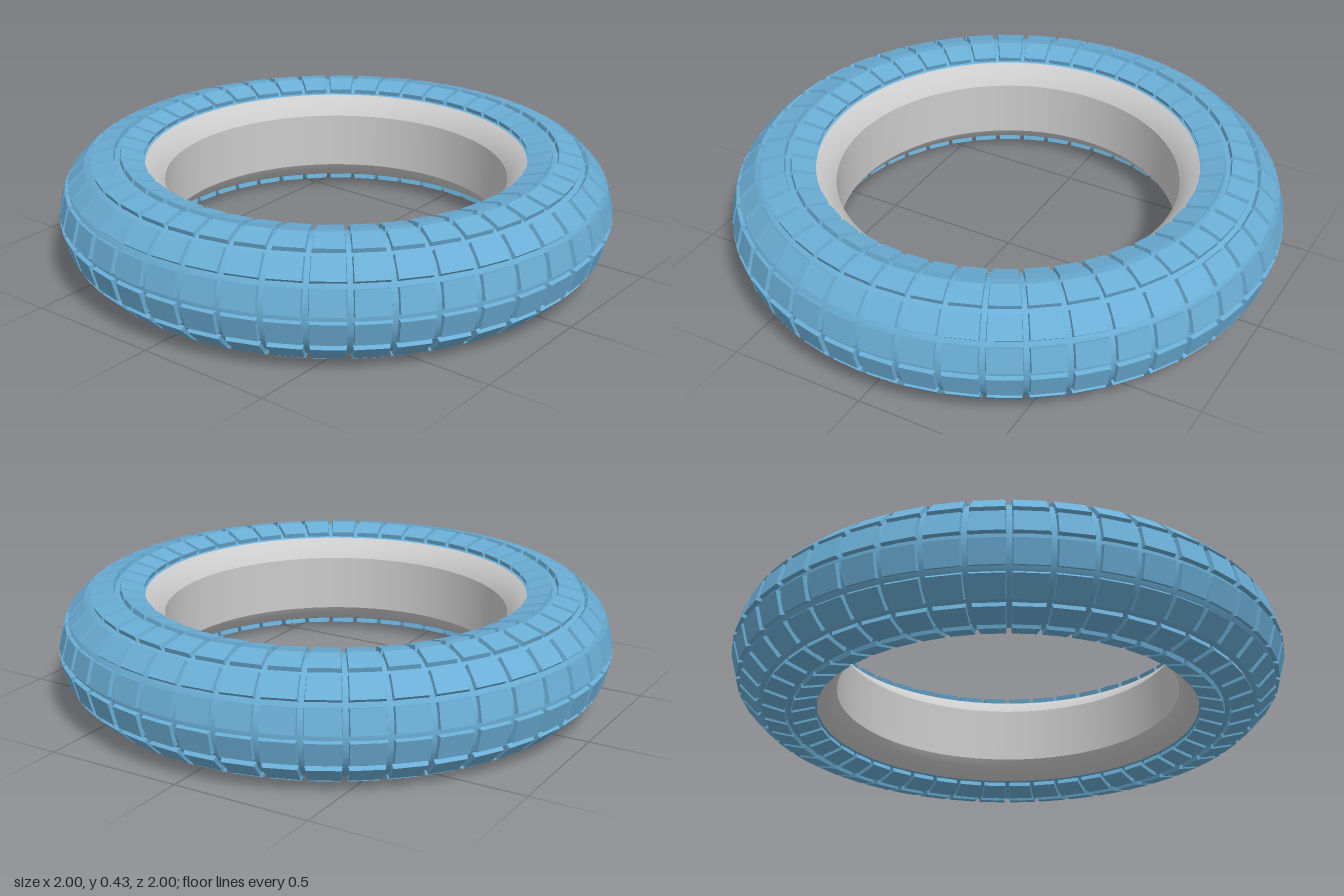
import * as THREE from 'three';
import { mergeGeometries } from 'three/addons/utils/BufferGeometryUtils.js';

const RING = 0.787;       // radius of the ring's centre line
const MID = 0.2135;       // height of the centre line
const BODY = 0.197;       // tube radius at the bottom of the grooves
const TREAD = 0.2135;     // tube radius at the top of the blocks
const COUNT = 44;         // blocks around the ring
const ROWS = 8;           // block rows across the tread
const rad = THREE.MathUtils.degToRad;

// Point on the tube's cross-section, phi = 0 facing outward
const section = (phi, r) => new THREE.Vector2(RING + r * Math.cos(phi), MID + r * Math.sin(phi));

// Arc of the cross-section turned into a ring
function arcRing(from, to, steps) {
  const points = [];
  for (let i = 0; i <= steps; i++) points.push(section(rad(from + (to - from) * i / steps), BODY));
  return new THREE.LatheGeometry(points, COUNT * 2);
}

// One tapered tread block, bent from a unit box onto the tube
function block(theta, phi) {
  const g = new THREE.BoxGeometry(1, 1, 1);
  const p = g.attributes.position;
  for (let i = 0; i < p.count; i++) {
    const top = p.getY(i) > 0;
    const t = theta - p.getX(i) * rad(top ? 6.7 : 7.3);
    const s = section(phi + p.getZ(i) * rad(top ? 23 : 25.5), top ? TREAD : BODY - 0.006);
    p.setXYZ(i, s.x * Math.sin(t), s.y, s.x * Math.cos(t));
  }
  g.computeVertexNormals();
  return g;
}

export function createModel() {
  const group = new THREE.Group();
  const rubber = new THREE.MeshStandardMaterial({ color: 0x6baed6 });
  const grey = new THREE.MeshStandardMaterial({ color: 0xcccccc });
  const add = (name, geometry, material, parent = group) => {
    const mesh = new THREE.Mesh(geometry, material);
    mesh.name = name;
    parent.add(mesh);
  };

  // Tyre body under the tread
  add('tyreBody', arcRing(-120, 120, 32), rubber);

  // Tread blocks, in rows from the lower to the upper sidewall
  const tread = new THREE.Group();
  tread.name = 'tread';
  group.add(tread);
  for (let row = 0; row < ROWS; row++) {
    const blocks = [];
    const phi = rad(30 * (row - (ROWS - 1) / 2));
    for (let i = 0; i < COUNT; i++) blocks.push(block((i + 0.5) / COUNT * Math.PI * 2, phi));
    add('treadRow' + (row + 1), mergeGeometries(blocks), rubber, tread);
  }

  // Inner liner: two rounded shoulders and a straight band between them
  add('upperShoulder', arcRing(120, 148, 6), grey);
  add('innerBand', arcRing(148, 212, 1), grey);
  add('lowerShoulder', arcRing(212, 240, 6), grey);
  return group;
}
